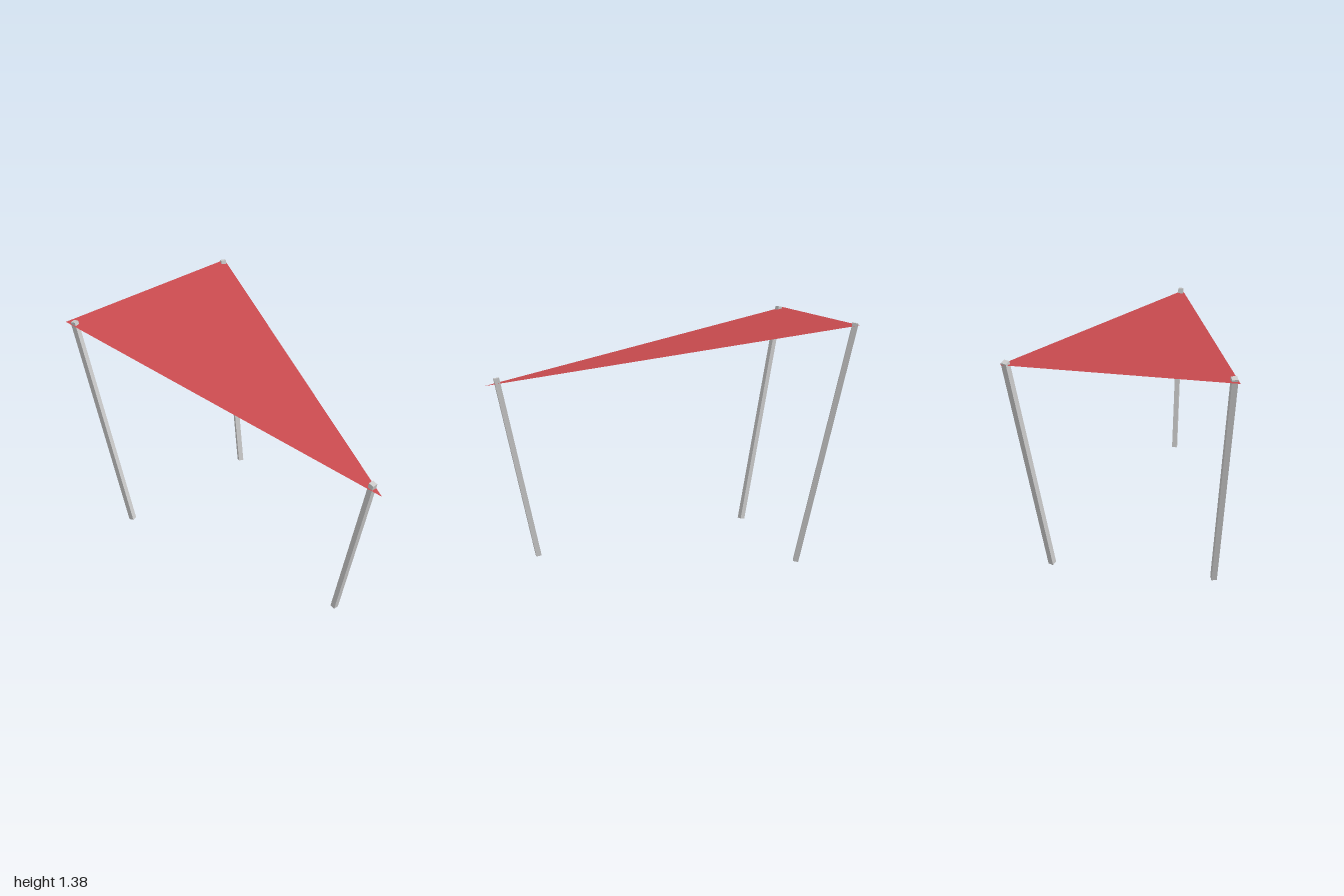
import * as THREE from 'three';

const grey = new THREE.MeshStandardMaterial({ color: 0xcccccc });
const red = new THREE.MeshStandardMaterial({ color: 0xc84a4e, side: THREE.DoubleSide });

// Square post running from foot to head, turned to face the way it leans
function makePost(name, foot, head) {
  const a = new THREE.Vector3(...foot), b = new THREE.Vector3(...head);
  const up = b.clone().sub(a);
  const length = up.length();
  up.normalize();
  const side = new THREE.Vector3(up.z, 0, -up.x).normalize();
  const face = side.clone().cross(up);
  const post = new THREE.Mesh(new THREE.BoxGeometry(0.031, length, 0.031), grey);
  post.name = name;
  post.quaternion.setFromRotationMatrix(new THREE.Matrix4().makeBasis(side, up, face));
  post.position.copy(a).add(b).multiplyScalar(0.5);
  return post;
}

export function createModel() {
  const model = new THREE.Group();
  model.name = 'shadeSail';

  // Three posts leaning outwards
  model.add(
    makePost('frontPost', [-0.05, 0.004, 0.715], [-0.05, 1.058, 0.931]),
    makePost('backRightPost', [-0.463, 0.004, -0.69], [-0.554, 1.374, -0.96]),
    makePost('backLeftPost', [0.45, 0.004, -0.69], [0.559, 1.374, -0.96]),
  );

  // Flat triangular canopy, pierced by the posts near its corners
  const canopy = new THREE.BufferGeometry().setFromPoints([
    new THREE.Vector3(-0.586, 1.366, -1.0),
    new THREE.Vector3(-0.053, 1.015, 1.0),
    new THREE.Vector3(0.584, 1.363, -0.975),
  ]);
  canopy.computeVertexNormals();
  const sail = new THREE.Mesh(canopy, red);
  sail.name = 'canopy';
  model.add(sail);

  return model;
}
